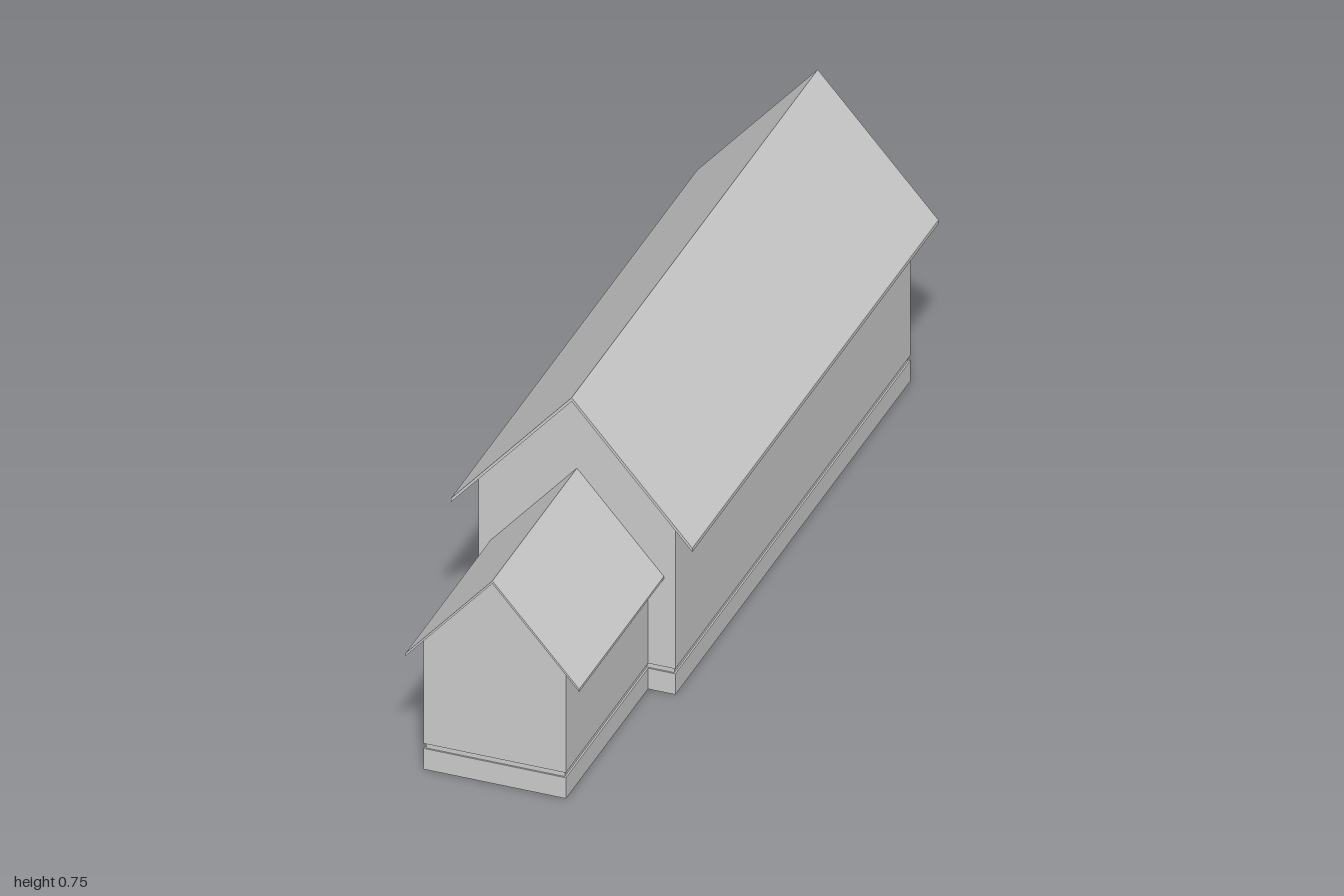
import * as THREE from 'three';

const SLOPE = 1.137;
const BASE_TOP = 0.055, WALL_BOTTOM = 0.068, INSET = 0.004;

// Closed outline in the xy plane, extruded from z0 to z1
function prism(name, points, z0, z1, material) {
  const shape = new THREE.Shape(points.map(([x, y]) => new THREE.Vector2(x, y)));
  const geometry = new THREE.ExtrudeGeometry(shape, { depth: z1 - z0, bevelEnabled: false });
  geometry.translate(0, 0, z0);
  const mesh = new THREE.Mesh(geometry, material);
  mesh.name = name;
  return mesh;
}

function box(name, half, y0, y1, z0, z1, material) {
  return prism(name, [[-half, y0], [half, y0], [half, y1], [-half, y1]], z0, z1, material);
}

// Gabled volume: plinth, recessed joint, walls and a thin overhanging roof
function gabledHouse(name, { half, back, front, ridge, thickness, roofHalf, roofBack, roofFront, jointBack }, material) {
  const house = new THREE.Group();
  house.name = name;
  const apex = ridge - thickness;
  const eave = apex - half * SLOPE;
  const drop = roofHalf * SLOPE;

  house.add(
    box('plinth', half, 0, BASE_TOP, back, front, material),
    box('recessedJoint', half - INSET, BASE_TOP, WALL_BOTTOM, jointBack, front - INSET, material),
    prism('walls', [
      [-half, WALL_BOTTOM], [half, WALL_BOTTOM], [half, eave], [0, apex], [-half, eave],
    ], back, front, material),
    prism('roof', [
      [0, ridge], [-roofHalf, ridge - drop], [-roofHalf, apex - drop],
      [0, apex], [roofHalf, apex - drop], [roofHalf, ridge - drop],
    ], roofBack, roofFront, material),
  );
  return house;
}

export function createModel() {
  const model = new THREE.Group();
  model.name = 'gabledBuilding';
  const material = new THREE.MeshStandardMaterial({ color: 0xcccccc, flatShading: true });

  // Long main hall
  model.add(gabledHouse('mainHall', {
    half: 0.238, back: -0.965, front: 0.48, jointBack: -0.961,
    ridge: 0.75, thickness: 0.01, roofHalf: 0.292, roofBack: -1, roofFront: 0.513,
  }, material));

  // Smaller front porch, its joint running back to meet the hall's joint
  model.add(gabledHouse('frontPorch', {
    half: 0.172, back: 0.48, front: 0.985, jointBack: 0.476,
    ridge: 0.545, thickness: 0.007, roofHalf: 0.21, roofBack: 0.48, roofFront: 1,
  }, material));

  return model;
}
